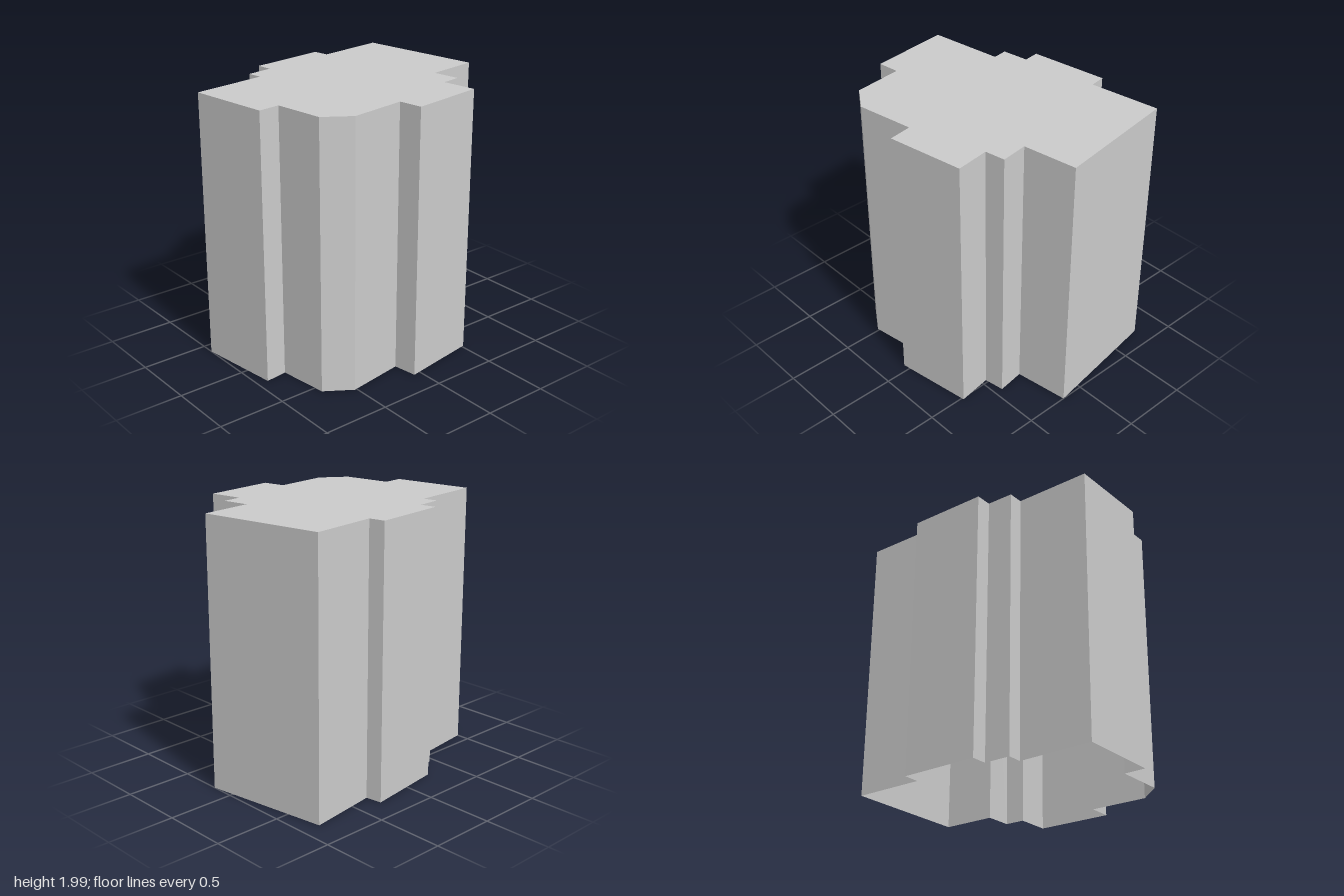
import * as THREE from 'three';

const HEIGHT = 1.99;

// Footprint corners [x, z], clockwise seen from above
const FOOTPRINT = [
  [-1, -0.4], [-0.44, -0.473], [-0.455, -0.583], [-0.257, -0.612], [-0.272, -0.73],
  [0.313, -0.811], [0.332, -0.692], [0.856, -0.767], [1, 0.174], [0.599, 0.233],
  [0.628, 0.436], [0.479, 0.46], [0.516, 0.714], [-0.056, 0.803], [-0.083, 0.628],
  [-0.516, 0.695], [-0.709, 0.567], [-0.757, 0.195], [-0.92, 0.214],
];

export function createModel() {
  const building = new THREE.Group();
  building.name = 'building';
  const material = new THREE.MeshStandardMaterial({
    color: 0xcccccc, flatShading: true, side: THREE.DoubleSide,
  });

  // Flat roof
  const outline = new THREE.Shape(FOOTPRINT.map(([x, z]) => new THREE.Vector2(x, -z)));
  const roof = new THREE.Mesh(new THREE.ShapeGeometry(outline), material);
  roof.name = 'roof';
  roof.rotation.x = -Math.PI / 2;
  roof.position.y = HEIGHT;
  building.add(roof);

  // One upright panel per footprint edge; the underside stays open
  const walls = new THREE.Group();
  walls.name = 'walls';
  FOOTPRINT.forEach(([x0, z0], i) => {
    const [x1, z1] = FOOTPRINT[(i + 1) % FOOTPRINT.length];
    const dx = x1 - x0, dz = z1 - z0;
    const wall = new THREE.Mesh(new THREE.PlaneGeometry(Math.hypot(dx, dz), HEIGHT), material);
    wall.name = `wall${i + 1}`;
    wall.position.set((x0 + x1) / 2, HEIGHT / 2, (z0 + z1) / 2);
    wall.rotation.y = Math.atan2(dz, -dx); // face outward
    walls.add(wall);
  });
  building.add(walls);

  return building;
}
